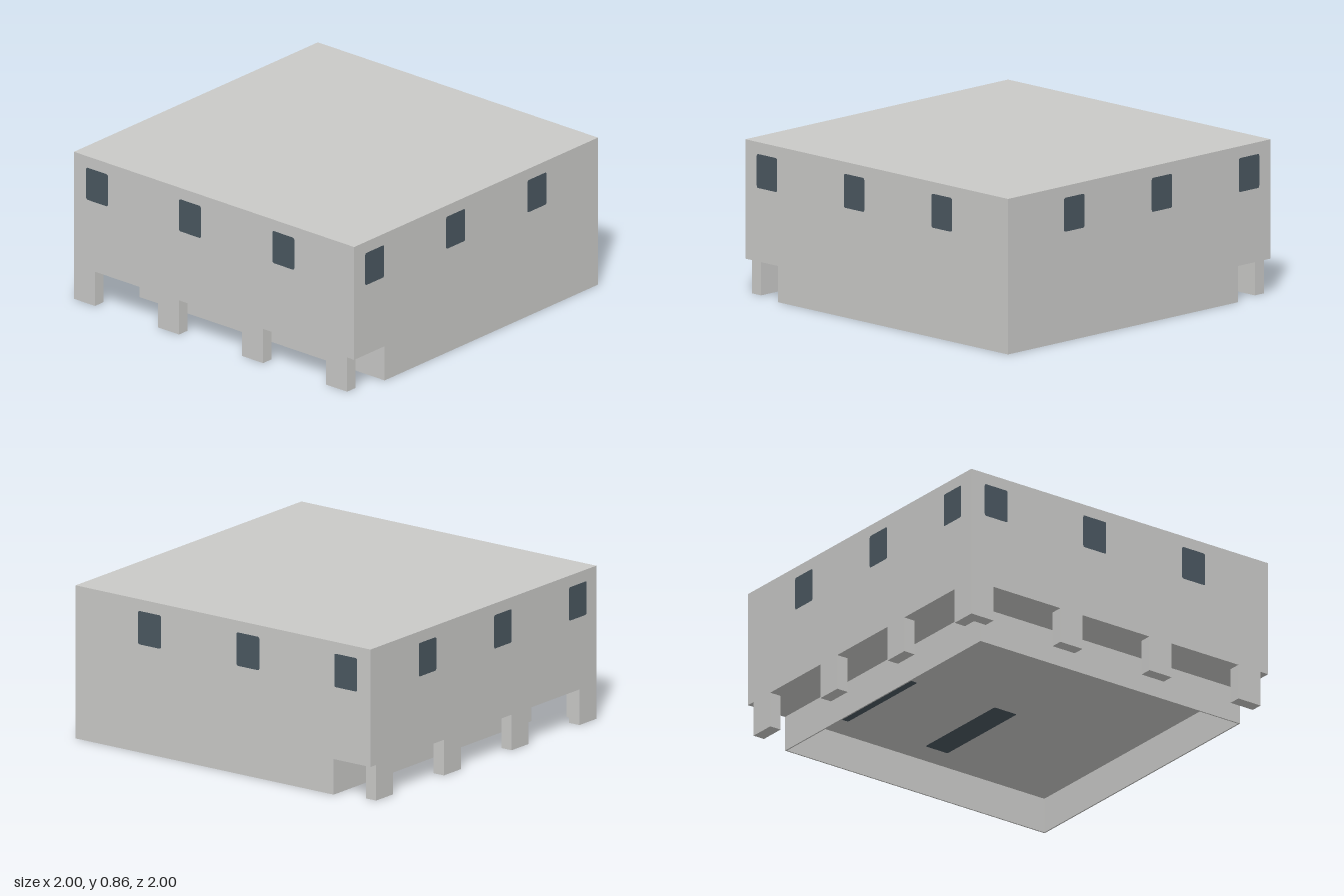
import * as THREE from 'three';

const TOP = 0.86, DECK = 0.2, WALL = 0.008;

export function createModel() {
  const concrete = new THREE.MeshStandardMaterial({ color: 0xc9c9c7 });
  concrete.name = 'pale concrete';
  const glass = new THREE.MeshStandardMaterial({ color: 0x4a5760 });
  glass.name = 'dark glass';

  const model = new THREE.Group();
  model.name = 'building';

  // Box given by its minimum and maximum corners
  function box(name, x0, x1, y0, y1, z0, z1, parent = model) {
    const mesh = new THREE.Mesh(new THREE.BoxGeometry(x1 - x0, y1 - y0, z1 - z0), concrete);
    mesh.position.set((x0 + x1) / 2, (y0 + y1) / 2, (z0 + z1) / 2);
    mesh.name = name;
    parent.add(mesh);
  }

  // Flat pane with slightly rounded corners, facing +z
  function paneGeometry(w, h, r = 0.012) {
    const x = w / 2, y = h / 2;
    const s = new THREE.Shape();
    s.moveTo(-x + r, -y);
    s.lineTo(x - r, -y);
    s.quadraticCurveTo(x, -y, x, -y + r);
    s.lineTo(x, y - r);
    s.quadraticCurveTo(x, y, x - r, y);
    s.lineTo(-x + r, y);
    s.quadraticCurveTo(-x, y, -x, y - r);
    s.lineTo(-x, -y + r);
    s.quadraticCurveTo(-x, -y, -x + r, -y);
    return new THREE.ShapeGeometry(s, 4);
  }

  // Upper storey
  box('upperStorey', -1, 1, DECK, TOP, -1, 1);

  // Hollow ground floor, set back on the front and on the -x side
  const ground = new THREE.Group();
  ground.name = 'groundFloorWalls';
  model.add(ground);
  box('frontWall', -0.75, 1, 0, DECK, 0.75 - WALL, 0.75, ground);
  box('backWall', -0.75, 1, 0, DECK, -1, -1 + WALL, ground);
  box('leftWall', 1 - WALL, 1, 0, DECK, -1 + WALL, 0.75 - WALL, ground);
  box('rightWall', -0.75, -0.75 + WALL, 0, DECK, -1 + WALL, 0.75 - WALL, ground);

  // Piers under the overhang, mirrored across the diagonal; the corner one is L-shaped
  for (const a of [-0.4, 0.2, 0.8]) {
    box('frontPier', a, a + 0.15, 0, DECK, 0.93, 1);
    box('sidePier', -1, -0.93, 0, DECK, -a - 0.15, -a);
  }
  box('cornerPierFront', -1, -0.85, 0, DECK, 0.93, 1);
  box('cornerPierSide', -1, -0.93, 0, DECK, 0.85, 0.93);

  // Three windows on each of the four sides
  const pane = paneGeometry(0.155, 0.188);
  const offsets = [-0.834, -0.17, 0.497];
  const out = 1.002;
  function windowAt(name, x, z, turn) {
    const mesh = new THREE.Mesh(pane, glass);
    mesh.position.set(x, 0.701, z);
    mesh.rotation.y = turn;
    mesh.name = name;
    model.add(mesh);
  }
  for (const o of offsets) {
    windowAt('frontWindow', o, out, 0);
    windowAt('backWindow', o, -out, Math.PI);
    windowAt('leftWindow', out, -o, Math.PI / 2);
    windowAt('rightWindow', -out, -o, -Math.PI / 2);
  }

  // Long dark panels on the ground floor ceiling
  const panel = paneGeometry(0.15, 0.62);
  for (const x of [0.15, -0.52]) {
    const mesh = new THREE.Mesh(panel, glass);
    mesh.rotation.x = Math.PI / 2;
    mesh.position.set(x, DECK - 0.002, -0.53);
    mesh.name = 'ceilingPanel';
    model.add(mesh);
  }

  return model;
}
